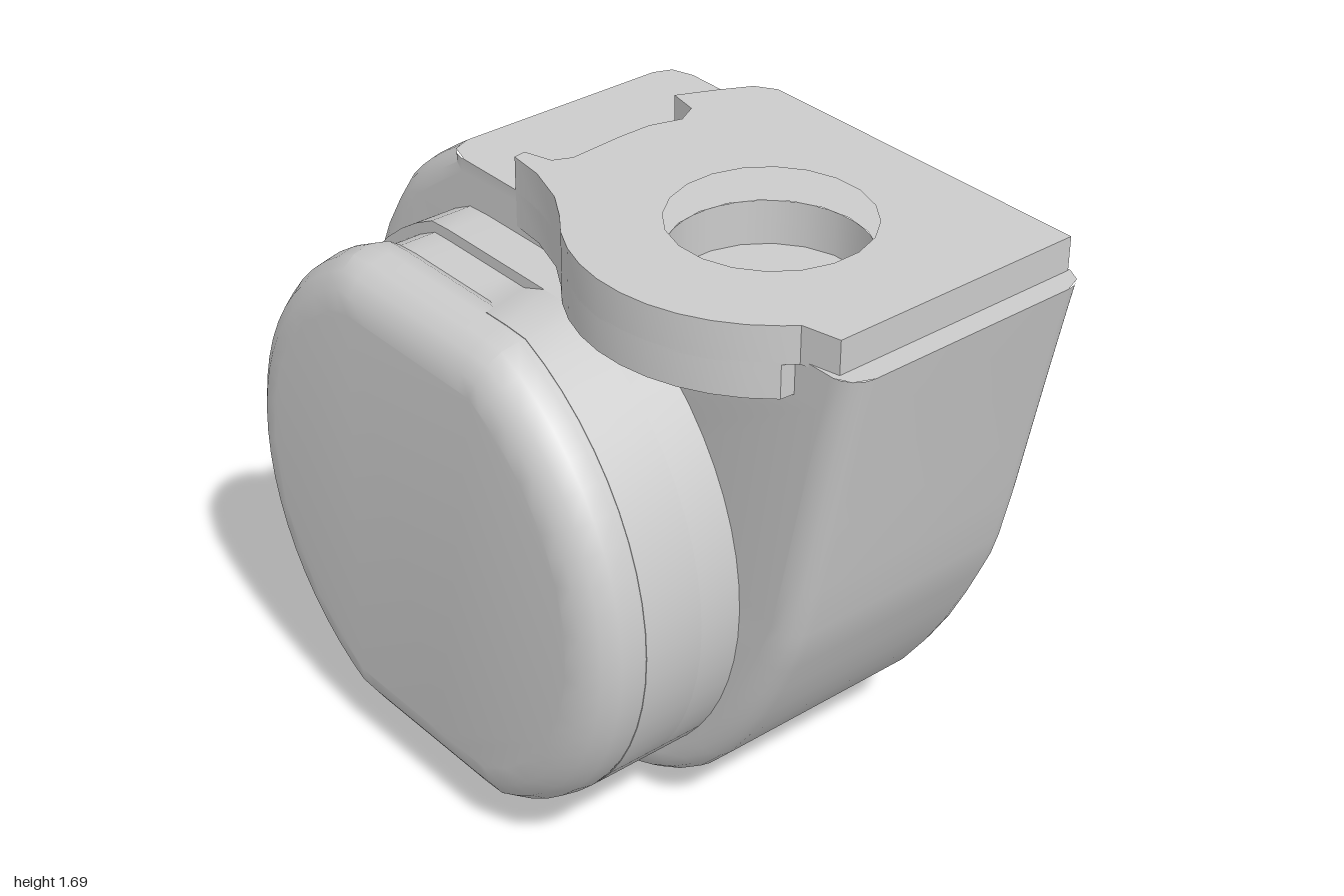
import * as THREE from 'three';
import { toCreasedNormals } from 'three/addons/utils/BufferGeometryUtils.js';

const TILT = -10 * Math.PI / 180; // caster is swivelled about the vertical axis
const AXLE = { w: -0.16, y: 0.8 };
const DECK = 1.6;
const STEM = { x: 0.01, z: 0.365, r: 0.255 };
const V = (x, y) => new THREE.Vector2(x, y);
const material = new THREE.MeshStandardMaterial({ color: 0xcccccc });
const doubleSided = new THREE.MeshStandardMaterial({ color: 0xcccccc, side: THREE.DoubleSide });

function mesh(name, geometry, mat = material) {
  const m = new THREE.Mesh(geometry, mat);
  m.name = name;
  return m;
}

function circlePath(x, y, r) {
  return new THREE.Path().absarc(x, y, r, 0, Math.PI * 2, true);
}

// Extrudes a side profile (x = -depth, y = height) across the width from u0 to u1
function slab(shape, u0, u1, bevel = 0) {
  const g = new THREE.ExtrudeGeometry(shape, {
    depth: u1 - u0 - 2 * bevel, curveSegments: 20, bevelEnabled: bevel > 0,
    bevelSize: bevel, bevelThickness: bevel, bevelOffset: -bevel, bevelSegments: 4,
  });
  return g.translate(0, 0, u0 + bevel).rotateY(Math.PI / 2);
}

// Extrudes a plan outline of [x, z] points upward from y0 to y1
function plan(points, y0, y1, hole) {
  const shape = new THREE.Shape(points.map(([x, z]) => V(x, -z)));
  if (hole) shape.holes.push(circlePath(hole.x, -hole.z, hole.r));
  const g = new THREE.ExtrudeGeometry(shape, { depth: y1 - y0, bevelEnabled: false, curveSegments: 10 });
  return toCreasedNormals(g.rotateX(-Math.PI / 2).translate(0, y0, 0), 0.5);
}

// Teardrop housing: bevelled around the sides, cut off level at the deck
function housingGeometry() {
  const profile = [
    [0.93, 1.6], [0.86, 1.27], [0.77, 0.84], [0.71, 0.67], [0.59, 0.43], [0.42, 0.2], [0.225, 0.07],
    [0.03, 0.01], [-0.15, 0], [-0.38, 0.015], [-0.57, 0.08], [-0.8, 0.26], [-0.94, 0.5], [-0.99, 0.8],
    [-0.93, 1.14], [-0.8, 1.39], [-0.7, 1.5], [-0.56, 1.6],
  ].map(([w, y]) => V(-w, y));
  const pts = new THREE.SplineCurve(profile).getPoints(40);
  const shape = new THREE.Shape([V(-0.93, 1.9), ...pts, V(0.56, 1.9)]);
  shape.holes.push(circlePath(-AXLE.w, AXLE.y, 0.35));
  const g = slab(shape, -0.2, 0.55, 0.07).toNonIndexed();
  const p = g.attributes.position;
  const kept = [];
  for (let i = 0; i < p.count; i += 3) {
    const tri = [0, 1, 2].map((k) => [p.getX(i + k), Math.min(p.getY(i + k), DECK), p.getZ(i + k)]);
    if (tri.some((v) => v[1] < DECK - 0.001)) kept.push(...tri.flat());
  }
  const out = new THREE.BufferGeometry();
  out.setAttribute('position', new THREE.Float32BufferAttribute(kept, 3));
  return toCreasedNormals(out, 0.5);
}

// Wheel outline with flattened top and bottom and an optional shallow pocket
function wheelShape(pocket) {
  const pts = [];
  for (let i = 0; i < 60; i++) {
    const deg = i * 6;
    const cut = pocket && (deg < 98 || deg > 344) ? 0.03 : 0;
    const a = deg * Math.PI / 180;
    const y = THREE.MathUtils.clamp((0.74 - cut) * Math.sin(a), cut - 0.68, 0.68 - cut);
    pts.push(V(-AXLE.w + (0.74 - cut) * Math.cos(a), AXLE.y + y));
  }
  return new THREE.Shape(pts);
}

export function createModel() {
  const model = new THREE.Group();
  model.name = 'casterWheel';
  const body = new THREE.Group();
  body.name = 'swivelledBody';
  body.rotation.y = TILT;
  model.add(body);

  body.add(mesh('housing', housingGeometry()));

  // Level deck with the stem hole
  const c = Math.cos(TILT), s = Math.sin(TILT);
  const stem = { u: STEM.x * c - STEM.z * s, w: STEM.x * s + STEM.z * c };
  const deck = new THREE.Shape([
    [-0.2, 0.87], [-0.18, 0.91], [-0.13, 0.93], [0.48, 0.93], [0.53, 0.91], [0.55, 0.87],
    [0.55, -0.48], [0.53, -0.54], [0.48, -0.56], [-0.13, -0.56], [-0.18, -0.54], [-0.2, -0.48],
  ].map(([u, w]) => V(u, -w)));
  deck.holes.push(circlePath(stem.u, -stem.w, STEM.r));
  body.add(mesh('deck', new THREE.ShapeGeometry(deck, 10).rotateX(-Math.PI / 2).translate(0, DECK, 0)));

  // Stem socket
  const socket = new THREE.Group();
  socket.name = 'stemSocket';
  socket.position.set(STEM.x, 0, STEM.z);
  socket.add(mesh('socketWall',
    new THREE.CylinderGeometry(STEM.r, STEM.r, 0.12, 20, 1, true).translate(0, 1.54, 0), doubleSided));
  socket.add(mesh('socketFloor',
    new THREE.CircleGeometry(STEM.r, 20).rotateX(-Math.PI / 2).translate(0, 1.48, 0), doubleSided));
  model.add(socket);

  // Wheel: rounded outer disc, pocketed band, inner disc
  const wheel = new THREE.Group();
  wheel.name = 'wheel';
  wheel.add(mesh('wheelOuter', toCreasedNormals(slab(wheelShape(false), -0.635, -0.375, 0.125), 0.5)));
  wheel.add(mesh('wheelPocketBand', toCreasedNormals(slab(wheelShape(true), -0.49, -0.32), 0.5)));
  wheel.add(mesh('wheelInner', toCreasedNormals(slab(wheelShape(false), -0.32, -0.19), 0.5)));
  body.add(wheel);

  // Axle cap: ring, recess floor and half-moon plug
  const ring = new THREE.Shape().absarc(-AXLE.w, AXLE.y, 0.51, 0, Math.PI * 2, false);
  ring.holes.push(circlePath(-AXLE.w, AXLE.y, 0.25));
  body.add(mesh('axleRing', toCreasedNormals(slab(ring, 0.38, 0.562), 0.5)));
  const floor = new THREE.Shape().absarc(-AXLE.w, AXLE.y, 0.27, 0, Math.PI * 2, false);
  body.add(mesh('axleRecessFloor', slab(floor, 0.36, 0.4)));
  const plug = new THREE.Shape().absarc(-AXLE.w, AXLE.y, 0.25, 0.36, Math.PI - 0.12, false);
  body.add(mesh('axlePlug', toCreasedNormals(slab(plug, 0.39, 0.55), 0.5)));

  // Mounting plate with a round boss overhanging the wheel
  const arc = [];
  for (let i = 0; i <= 10; i++) {
    const a = (139 + i * 9.2) * Math.PI / 180;
    arc.push([STEM.x + 0.495 * Math.cos(a), STEM.z + 0.495 * Math.sin(a)]);
  }
  const neck = [[-0.24, -0.09], [-0.18, -0.2], [-0.15, -0.3]];
  model.add(mesh('mountingPlate', plan([
    [0.385, 0.95], [-0.33, 0.825], [-0.335, 0.72], ...arc, ...neck,
    [-0.115, -0.3], [-0.105, -0.22], [-0.06, -0.19], [0.1, -0.175], [0.19, -0.16], [0.27, -0.12],
    [0.33, -0.14], [0.36, -0.22], [0.45, -0.16], [0.53, -0.1], [0.555, -0.04],
  ], 1.59, 1.69, STEM)));
  model.add(mesh('bossUnderside', plan(
    [[-0.278, 0.713], ...arc, ...neck, [-0.104, -0.272]], 1.5, 1.595)));

  return model;
}
